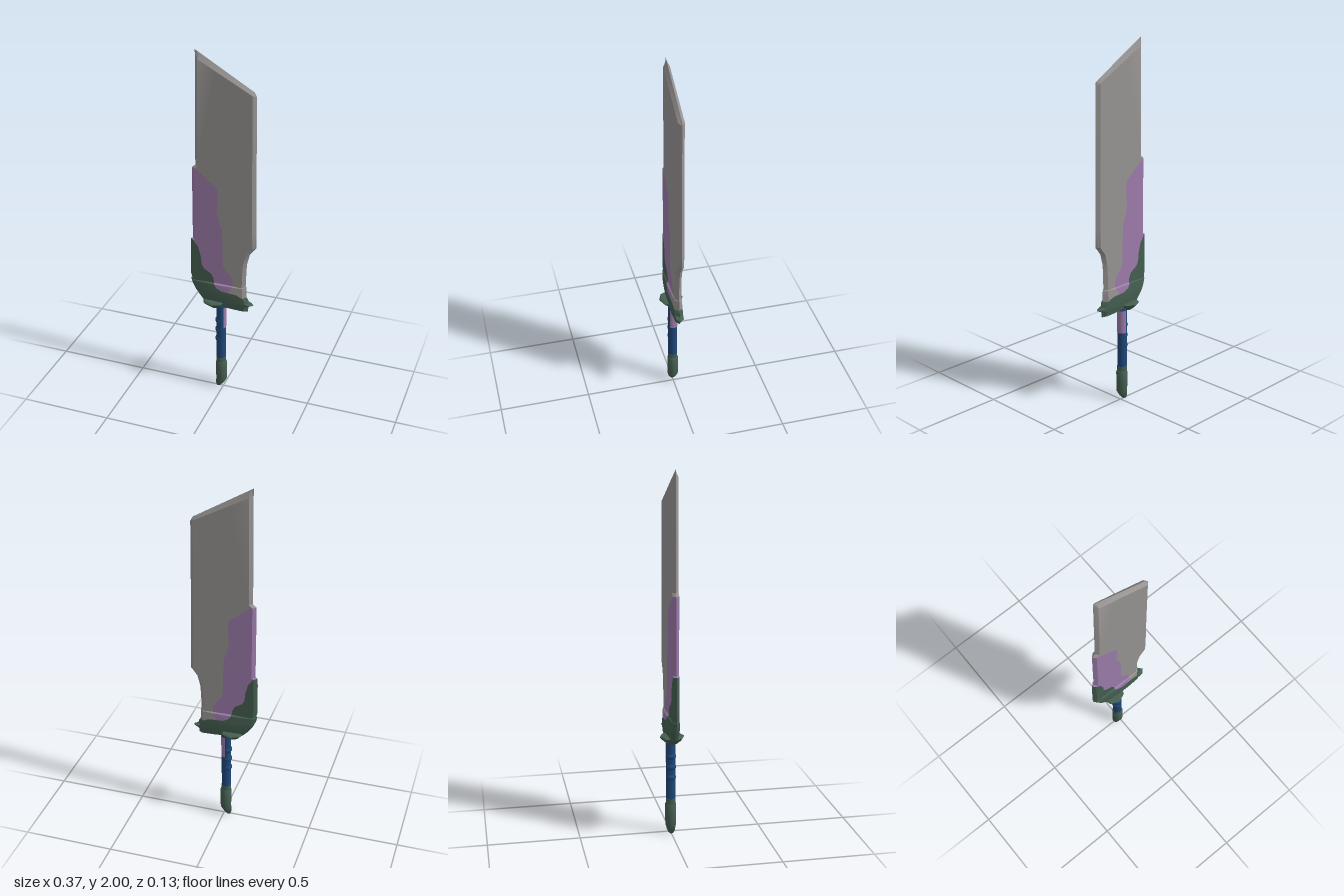
import * as THREE from 'three';
import { toCreasedNormals } from 'three/addons/utils/BufferGeometryUtils.js';

const mat = (name, color) => new THREE.MeshStandardMaterial({ name, color, side: THREE.DoubleSide });

export function createModel() {
  const model = new THREE.Group();
  const steel = mat('steel grey', 0x979493);
  const purple = mat('dusty purple', 0x9c7bab);
  const green = mat('dark green', 0x455f51);
  const blue = mat('grip blue', 0x1f4779);
  const N = -1; // colour absent on this row

  const add = (name, geometry, material, parent = model) => {
    const mesh = new THREE.Mesh(geometry, material);
    mesh.name = name;
    parent.add(mesh);
    return mesh;
  };

  // Symmetric flat shell from rows, top to bottom:
  // [left y, right y, left x, end of green, end of purple, right x, half thickness]
  function shell(name, rows, bevel, bulge) {
    const group = new THREE.Group();
    group.name = name;
    const parts = { Steel: [], Purple: [], Green: [] };
    const columns = ([, , xl, g, p, xr]) => {
      const a = xl + bevel, b = xr - bevel;
      const cg = Math.min(b, Math.max(a, g));
      return [xl, a, cg, Math.min(b, Math.max(cg, p)), b, xr];
    };
    const point = ([yl, yr, xl, , , xr, t], x, side) => {
      const f = (x - xl) / (xr - xl), u = 2 * f - 1;
      const edge = Math.min(1, Math.min(x - xl, xr - x) / bevel);
      return [x, yl + (yr - yl) * f, side * t * Math.max(0, edge) * (1 - bulge * u * u)];
    };
    for (let i = 0; i < rows.length - 1; i++) {
      const A = rows[i], B = rows[i + 1], ca = columns(A), cb = columns(B);
      const both = (k, v) => A[k] > v && B[k] > v;
      const left = both(3, N) ? 'Green' : both(4, N) ? 'Purple' : 'Steel';
      const right = A[3] >= A[5] - bevel && B[3] >= B[5] - bevel ? 'Green' : 'Steel';
      [left, 'Green', 'Purple', 'Steel', right].forEach((colour, s) => {
        if (ca[s + 1] - ca[s] < 1e-6 && cb[s + 1] - cb[s] < 1e-6) return;
        for (let j = 0; j < 3; j++) {
          const at = (c, k) => c[s] + (c[s + 1] - c[s]) * k / 3;
          for (const side of [1, -1]) {
            const a = point(A, at(ca, j), side), b = point(A, at(ca, j + 1), side);
            const c = point(B, at(cb, j), side), d = point(B, at(cb, j + 1), side);
            const tris = side > 0 ? [a, c, b, b, c, d] : [a, b, c, b, d, c];
            parts[colour].push(...tris.flat());
          }
        }
      });
    }
    const mats = { Steel: steel, Purple: purple, Green: green };
    for (const key in parts) {
      if (!parts[key].length) continue;
      const geo = new THREE.BufferGeometry();
      geo.setAttribute('position', new THREE.Float32BufferAttribute(parts[key], 3));
      add(name + key, toCreasedNormals(geo, 0.5), mats[key], group);
    }
    model.add(group);
  }

  // Broad blade with a slanted tip and ragged painted areas
  const row = (y, xl, g, p, xr, t = 0.017) => [y, y, xl, g, p, xr, t];
  shell('blade', [
    [2.0, 1.815, -0.15, N, N, 0.163, 0],
    [1.965, 1.79, -0.15, N, N, 0.177, 0.017],
    row(1.37, -0.155, N, N, 0.18),
    row(1.355, -0.173, N, N, 0.18),
    row(1.354, -0.174, N, -0.145, 0.18),
    row(1.30, -0.174, N, -0.08, 0.181),
    row(1.26, -0.174, N, -0.03, 0.181),
    row(1.20, -0.174, N, -0.025, 0.182),
    row(1.13, -0.174, N, -0.033, 0.183),
    row(1.07, -0.174, N, -0.02, 0.184),
    row(1.02, -0.174, N, -0.002, 0.184),
    row(0.935, -0.174, N, 0, 0.185),
    row(0.93, -0.185, -0.165, 0, 0.18),
    row(0.89, -0.187, -0.137, 0, 0.15),
    row(0.83, -0.187, -0.122, 0, 0.135),
    row(0.79, -0.187, -0.12, 0.005, 0.132),
    row(0.765, -0.187, -0.105, 0.03, 0.131),
    row(0.74, -0.187, -0.065, 0.05, 0.13),
    row(0.71, -0.187, -0.05, 0.06, 0.13),
    row(0.66, -0.172, -0.045, 0.055, 0.125),
  ], 0.018, 0);

  // Thicker guard sleeve with a ragged right end
  shell('guardSleeve', [
    row(0.687, -0.186, -0.047, 0.058, 0.132, 0.016),
    row(0.68, -0.187, -0.045, 0.057, 0.134, 0.026),
    row(0.66, -0.181, -0.03, 0.045, 0.134, 0.028),
    row(0.645, -0.175, 0, 0.035, 0.134, 0.029),
    row(0.638, -0.172, 0.08, 0.08, 0.134, 0.03),
    row(0.62, -0.163, 0.115, N, 0.135, 0.03),
    row(0.605, -0.152, 1, N, 0.145, 0.03),
    row(0.588, -0.14, 1, N, 0.148, 0.029),
    row(0.577, -0.132, 1, N, 0.176, 0.028),
    [0.57, 0.563, -0.125, 1, N, 0.145, 0.027],
    [0.555, 0.535, -0.11, 1, N, 0.143, 0.023],
    [0.548, 0.53, -0.1, 1, N, 0.14, 0],
  ], 0.02, 0.33);

  const lathe = (points, segments, crease) => toCreasedNormals(
    new THREE.LatheGeometry(points.map(([r, y]) => new THREE.Vector2(r, y)), segments), crease);

  // Eight-sided flared collar under the guard
  add('guardCollar', lathe(
    [[0, 0.528], [0.028, 0.53], [0.058, 0.555], [0.067, 0.568], [0.06, 0.574], [0, 0.576]], 8, 0.2),
  green).position.x = -0.05;

  // Grip with finger ridges and a painted inlay on the edge side
  const gx = -0.013;
  add('grip', new THREE.CylinderGeometry(0.026, 0.026, 0.35, 16), blue).position.set(gx, 0.37, 0);
  for (const y of [0.445, 0.385, 0.325]) {
    const ridge = add('gripRidge', new THREE.SphereGeometry(0.028, 16, 10), blue);
    ridge.position.set(gx - 0.005, y, 0);
    ridge.scale.y = 0.8;
  }
  add('gripInlay', new THREE.CylinderGeometry(0.0285, 0.0285, 0.13, 12, 1, true, 0.85, 2.3), purple)
    .position.set(gx, 0.468, 0);

  // Pommel with a slanted, rounded end
  add('pommelRing', new THREE.CylinderGeometry(0.027, 0.027, 0.035, 16), green).position.set(gx, 0.185, 0);
  const pommel = lathe(
    [[0, 0], [0.012, 0.003], [0.022, 0.02], [0.03, 0.05], [0.031, 0.165], [0.027, 0.175], [0, 0.176]], 16, 0.8);
  const pos = pommel.attributes.position;
  for (let i = 0; i < pos.count; i++) {
    pos.setX(i, pos.getX(i) - Math.max(0, 0.05 - pos.getY(i)) * 0.36);
  }
  add('pommel', pommel, green).position.x = -0.011;

  return model;
}
